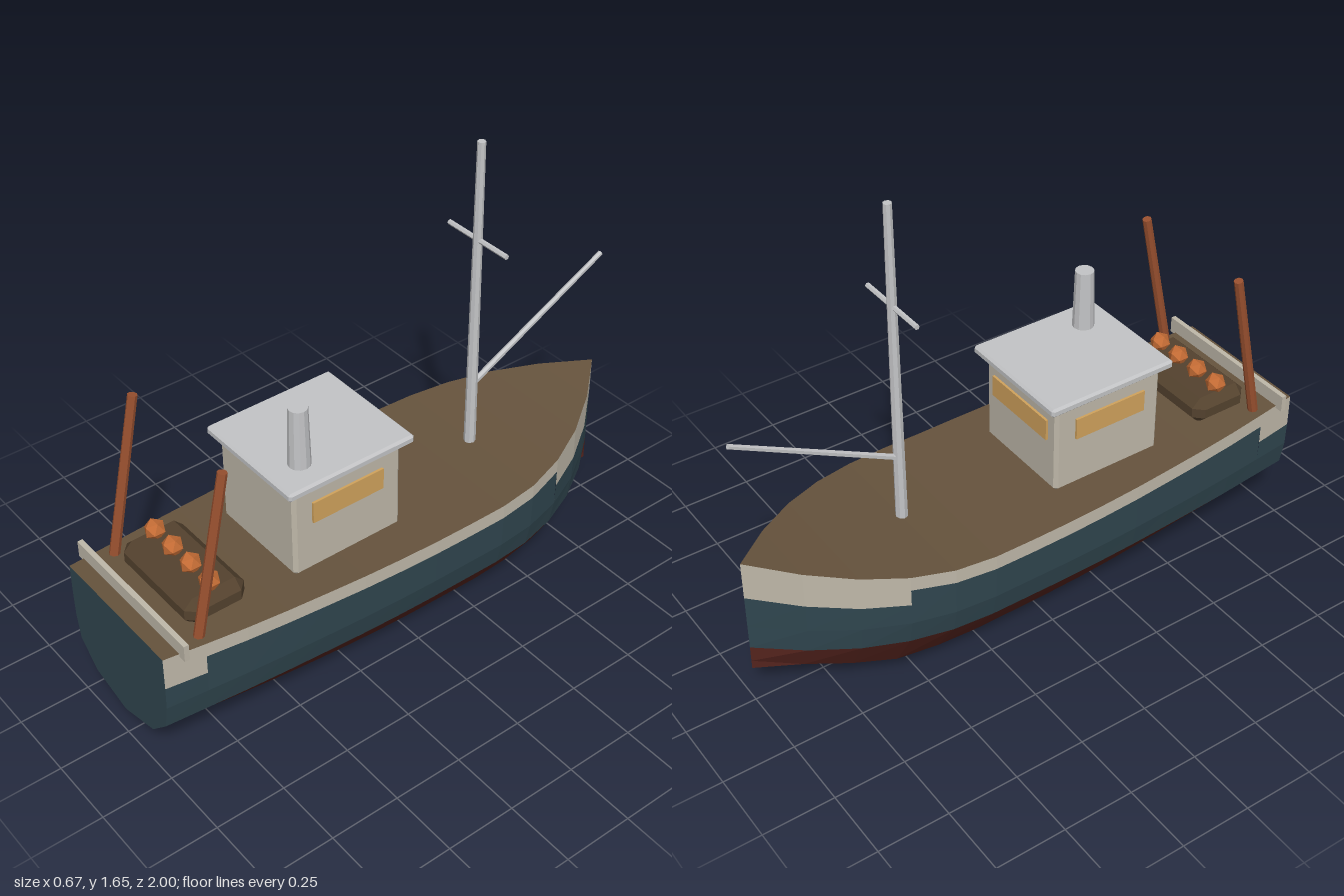
import * as THREE from 'three';
import { ConvexGeometry } from 'three/addons/geometries/ConvexGeometry.js';

const material = (name, color, side = THREE.FrontSide) => {
  const m = new THREE.MeshStandardMaterial({ color, side });
  m.name = name;
  return m;
};

// Hull stations from stern (z = 1) to bow (z = -1), evenly spaced
const HALF = [.265, .28, .295, .307, .317, .326, .332, .335, .335, .335, .322, .285, .22, .125, 0];
const SHEER = [.525, .517, .511, .506, .502, .498, .495, .492, .49, .491, .497, .512, .532, .555, .58];
const KEEL = [.105, .082, .063, .046, .031, .02, .01, .005, .002, 0, 0, 0, .045, .09, .14];
const WATER = .23;

export function createModel() {
  const boat = new THREE.Group();
  boat.name = 'fishingBoat';
  const red = material('bottomRed', 0x54231d);
  const blue = material('hullBlue', 0x30464f);
  const cream = material('cream', 0xbfb8a9);
  const brown = material('deckBrown', 0x66533d);
  const netBrown = material('netBrown', 0x54422e);
  const grey = material('metalGrey', 0xc3c4c6);
  const amber = material('windowAmber', 0xd0a25c);
  const rust = material('poleRust', 0x99502f);
  const orange = material('buoyOrange', 0xc46c35);

  const add = (name, geometry, mat, x = 0, y = 0, z = 0) => {
    const mesh = new THREE.Mesh(geometry, mat);
    mesh.name = name;
    mesh.position.set(x, y, z);
    boat.add(mesh);
    return mesh;
  };

  // Box with every edge cut at 45 degrees
  const chamferBox = (w, h, d, c) => {
    const pts = [];
    for (const sx of [-1, 1]) for (const sy of [-1, 1]) for (const sz of [-1, 1]) {
      const x = w / 2, y = h / 2, z = d / 2;
      for (const [px, py, pz] of [[x, y - c, z - c], [x - c, y, z - c], [x - c, y - c, z]])
        pts.push(new THREE.Vector3(sx * px, sy * py, sz * pz));
    }
    return new ConvexGeometry(pts);
  };

  // Round bar between two points
  const bar = (name, from, to, r0, r1, mat, sides = 8) => {
    const a = new THREE.Vector3(...from), b = new THREE.Vector3(...to);
    const g = new THREE.CylinderGeometry(r1, r0, a.distanceTo(b), sides).toNonIndexed();
    g.computeVertexNormals();
    const mesh = add(name, g, mat);
    mesh.position.copy(a).add(b).multiplyScalar(.5);
    mesh.quaternion.setFromUnitVectors(new THREE.Vector3(0, 1, 0), b.sub(a).normalize());
    return mesh;
  };

  // Half section of the hull, from keel to sheer
  const section = (i, drop) => {
    const w = HALF[i], k = KEEL[i], z = 1 - i / 7;
    return [
      [0, k, z], [.62 * w, k + .35 * (WATER - k), z], [.93 * w, WATER, z],
      [.99 * w, .32, z], [w, SHEER[i] - drop, z], [w, SHEER[i], z],
    ];
  };

  // Hull skin and deck, panel by panel
  const skins = { red: [], blue: [], cream: [], deck: [] };
  const rowSkin = ['red', 'red', 'blue', 'blue', 'cream'];
  const quad = (out, a, b, c, d) => out.push(...a, ...b, ...c, ...a, ...c, ...d);
  const flip = ([x, y, z]) => [-x, y, z];
  for (let i = 0; i < 14; i++) {
    // the cream band is deeper at the stern and the bow
    const drop = j => (i === 0 ? .12 : i >= 11 ? .113 + (j - 11) * .009 : .052);
    const p = section(i, drop(i)), q = section(i + 1, drop(i + 1));
    rowSkin.forEach((skin, j) => {
      const c = [p[j], q[j], q[j + 1], p[j + 1]];
      quad(skins[skin], ...c);
      quad(skins[skin], ...c.map(flip).reverse());
    });
    quad(skins.deck, p[5], q[5], flip(q[5]), flip(p[5]));
  }
  const skinMesh = (name, data, mat) => {
    const g = new THREE.BufferGeometry();
    g.setAttribute('position', new THREE.Float32BufferAttribute(data, 3));
    g.computeVertexNormals();
    add(name, g, mat);
  };
  skinMesh('hullBottom', skins.red, red);
  skinMesh('hullSides', skins.blue, blue);
  skinMesh('hullBand', skins.cream, cream);
  skinMesh('deck', skins.deck, brown);

  // Transom
  const half = section(0, .12);
  const outline = [...half, ...half.slice(1).reverse().map(flip)].map(([x, y]) => new THREE.Vector2(x, y));
  add('transom', new THREE.ShapeGeometry(new THREE.Shape(outline)), blue, 0, 0, 1);
  add('sternRail', new THREE.BoxGeometry(.6, .06, .018), cream, 0, .542, .936);

  // Wheelhouse
  add('cabin', chamferBox(.39, .34, .42, .012), cream, 0, .67, .252);
  add('cabinRoof', chamferBox(.445, .032, .485, .008), grey, 0, .845, .25);
  for (const s of [-1, 1])
    add('sideWindow', new THREE.BoxGeometry(.009, .078, .275), amber, s * .199, .729, .255);
  add('frontWindow', new THREE.BoxGeometry(.3, .078, .009), amber, 0, .729, .038);
  bar('funnel', [.112, .85, .375], [.112, 1.075, .375], .038, .032, grey, 12);

  // Mast, crossbar and boom
  bar('mast', [0, .48, -.425], [0, 1.65, -.425], .021, .014, grey);
  bar('crossbar', [-.138, 1.3, -.425], [.138, 1.3, -.425], .009, .009, grey, 6);
  bar('boom', [0, .735, -.43], [0, 1.03, -.995], .011, .009, grey, 6);

  // Stern poles
  for (const s of [-1, 1])
    bar('sternPole', [s * .237, .5, .856], [s * .237, 1.085, .733], .018, .016, rust);

  // Net bundle with floats
  add('netBundle', chamferBox(.4, .1, .22, .032), netBrown, 0, .55, .747);
  for (const x of [-.15, -.05, .05, .15])
    add('netFloat', new THREE.IcosahedronGeometry(.037), orange, x, .62, .75);

  return boat;
}
